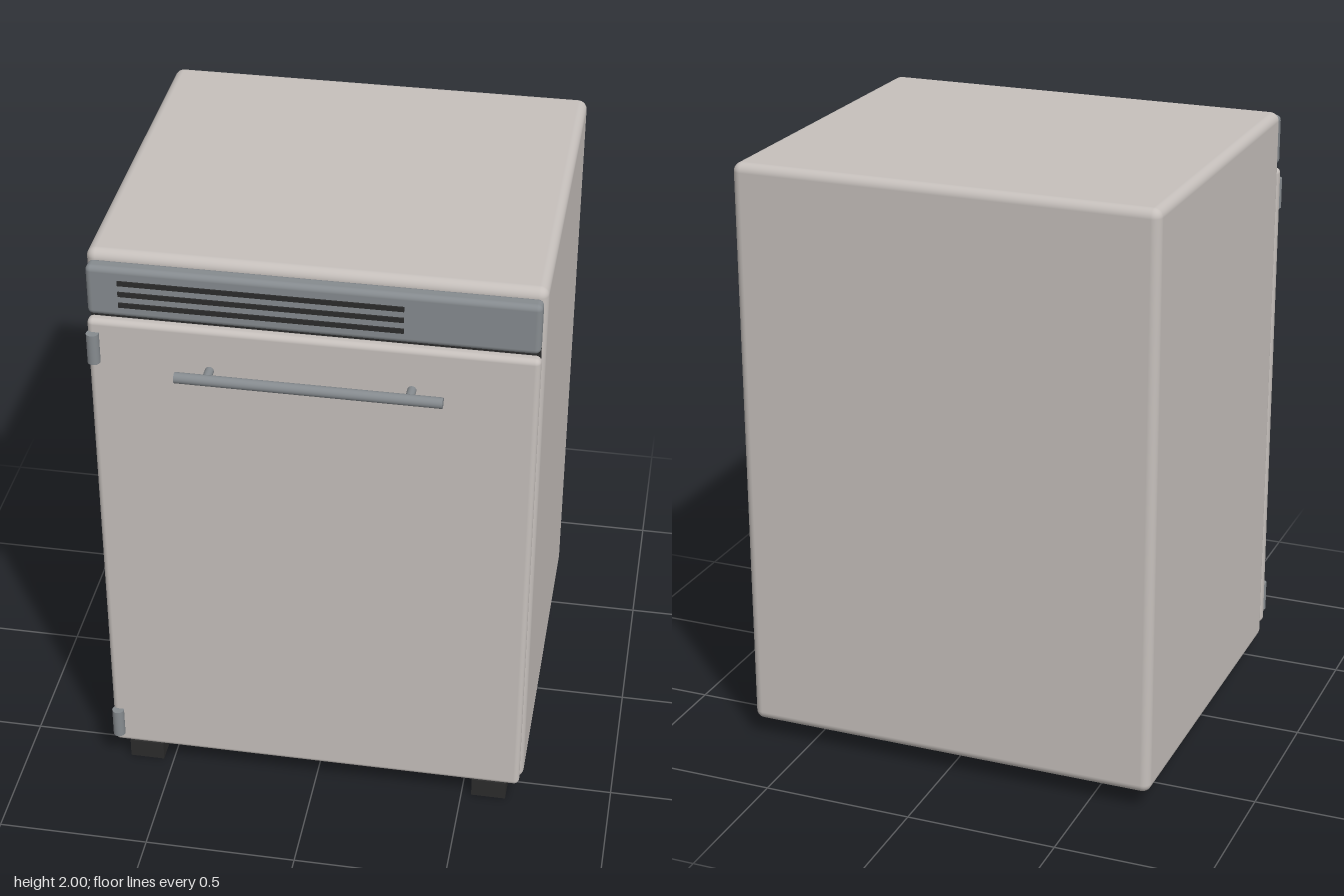
import * as THREE from 'three';
import { RoundedBoxGeometry } from 'three/addons/geometries/RoundedBoxGeometry.js';

function material(name, color) {
  const m = new THREE.MeshStandardMaterial({ color });
  m.name = name;
  return m;
}

export function createModel() {
  const enamel = material('warm grey enamel', 0xc6c0bc);
  const steel = material('dark steel', 0x868b8f);
  const rubber = material('black rubber', 0x2c2c2c);

  const model = new THREE.Group();
  model.name = 'dishwasher';

  function add(name, geometry, mat, x, y, z) {
    const mesh = new THREE.Mesh(geometry, mat);
    mesh.name = name;
    mesh.position.set(x, y, z);
    model.add(mesh);
    return mesh;
  }

  // Box given by its limits, rounded when a radius is set
  function box(name, mat, [x0, x1], [y0, y1], [z0, z1], radius = 0) {
    const size = [x1 - x0, y1 - y0, z1 - z0];
    const geometry = radius
      ? new RoundedBoxGeometry(...size, 4, radius)
      : new THREE.BoxGeometry(...size);
    return add(name, geometry, mat, (x0 + x1) / 2, (y0 + y1) / 2, (z0 + z1) / 2);
  }

  // Cabinet, door seal, door and control panel
  box('cabinet', enamel, [-0.703, 0.703], [0.062, 2], [-0.694, 0.56], 0.03);
  box('doorSeal', rubber, [-0.69, 0.69], [0.078, 1.8], [0.55, 0.577]);
  box('door', enamel, [-0.695, 0.695], [0.092, 1.792], [0.577, 0.621], 0.018);
  box('controlPanel', steel, [-0.692, 0.692], [1.806, 1.976], [0.558, 0.614], 0.018);

  // Vent slots
  for (const y of [1.852, 1.89, 1.928]) {
    box('ventSlot', rubber, [-0.592, 0.282], [y - 0.008, y + 0.008], [0.611, 0.619]);
  }

  // Bar handle on two posts
  const bar = new THREE.CylinderGeometry(0.0175, 0.0175, 0.825, 24).rotateZ(Math.PI / 2);
  add('handleBar', bar, steel, 0, 1.648, 0.676);
  const post = new THREE.CylinderGeometry(0.014, 0.014, 0.065, 20).rotateX(Math.PI / 2);
  for (const x of [-0.315, 0.31]) add('handlePost', post, steel, x, 1.648, 0.643);

  // Hinge barrels
  const hinge = new THREE.CylinderGeometry(0.02, 0.02, 0.104, 24);
  for (const y of [0.183, 1.697]) add('hinge', hinge, steel, -0.676, y, 0.627);

  // Feet
  for (const x of [-0.592, 0.592]) {
    for (const z of [-0.502, 0.532]) {
      box('foot', rubber, [x - 0.058, x + 0.058], [0, 0.068], [z - 0.058, z + 0.058]);
    }
  }

  return model;
}
